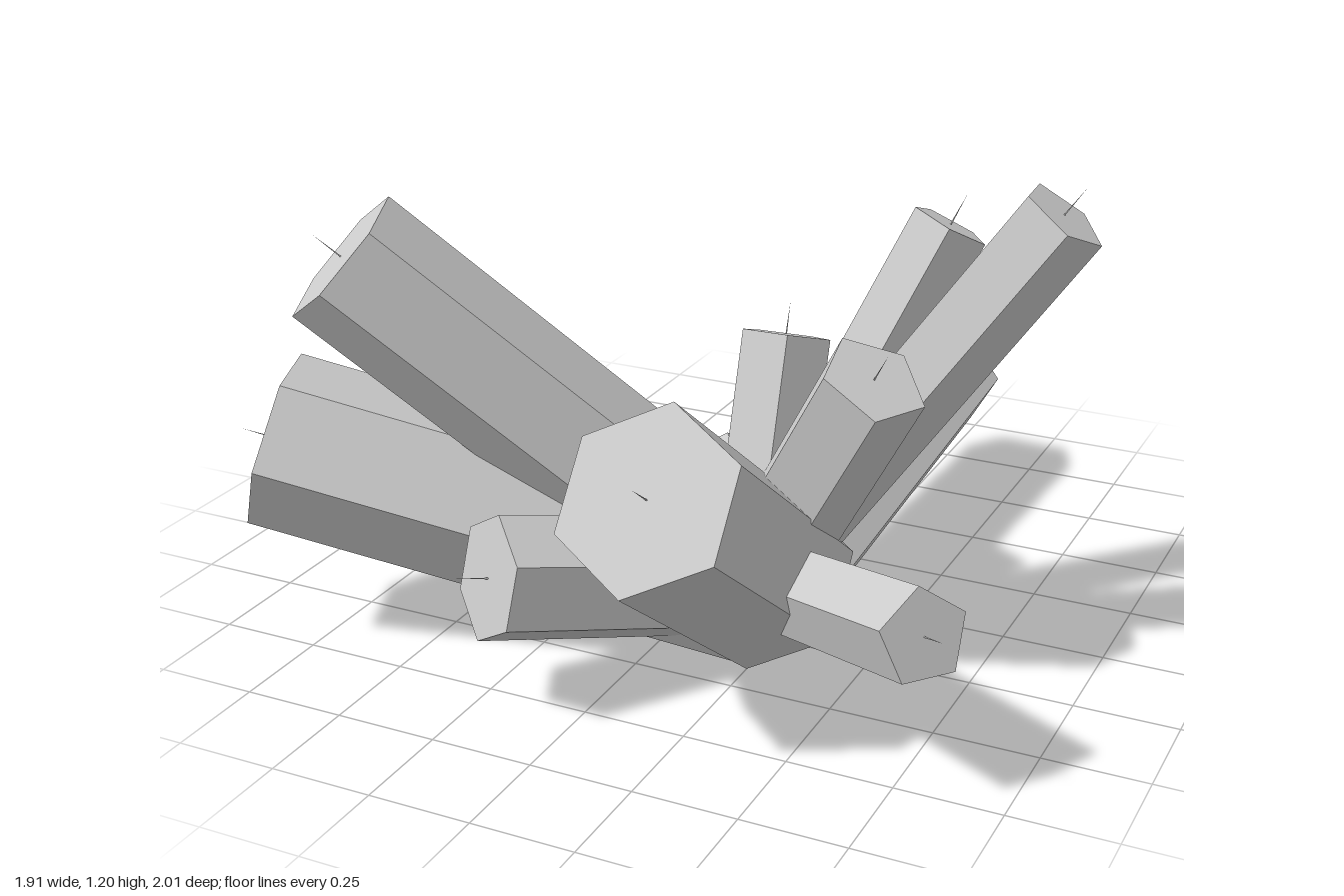
import * as THREE from 'three';

// Usual point where the crystals meet
const ROOT = [0.21, 0.185, 0.28];

// name, centre of the end cap, radius, sides, direction of one corner, optional root and cap lean
const CRYSTALS = [
  ['wideLowCrystal', [-0.845, 0.52, 0.71], 0.21, 6, [0.38, 0, 0.92]],
  ['wideFrontCrystal', [0.237, 0.64, 0.885], 0.217, 6, [0, 0.83, -0.56], [0.25, 0.18, 0.28]],
  ['tallRightCrystal', [-0.605, 1.01, 0.73], 0.172, 6, [0.05, -0.03, 0.17]],
  ['lowFrontCrystal', [-0.19, 0.345, 0.835], 0.15, 6, [0.015, 0.165, -0.03]],
  ['tallLeftCrystal', [0.89, 1.145, 0.17], 0.105, 5, [-0.06, 0.06, -0.055]],
  ['thinUprightCrystal', [0.575, 1.035, 0], 0.095, 5, [-0.08, 0.06, 0.05]],
  ['middleLeftCrystal', [0.565, 0.805, 0.44], 0.125, 5, [-0.1, 0.09, -0.05]],
  ['lowLeftCrystal', [0.825, 0.41, 0.795], 0.107, 5, [0, 1, 0]],
  ['longBackCrystal', [0.287, 0.315, -0.91], 0.15, 5, [0.03, 0.135, 0], [0.285, 0.21, 0.22], [-0.3, 0, 0]],
  ['uprightCrystal', [0.2, 0.735, 0.08], 0.11, 5, [0.02, 0, -0.1]],
  ['shortBackCrystal', [0.15, 0.33, -0.16], 0.16, 6, [0, 1, 0.3]],
  ['shortRightCrystal', [0, 0.32, 0.02], 0.13, 6, [0.2, 1, 0.2]],
];

const material = new THREE.MeshStandardMaterial({ color: 0xcccccc, flatShading: true });

function makeCrystal([name, tip, radius, sides, corner, root = ROOT, lean = [0, 0, 0]]) {
  const base = new THREE.Vector3(...root);
  const axis = new THREE.Vector3(...tip).sub(base);
  const length = axis.length();
  axis.normalize();

  // Local frame: y along the crystal, z towards one corner
  const z = new THREE.Vector3(...corner).projectOnPlane(axis).normalize();
  const x = new THREE.Vector3().crossVectors(axis, z);
  const leanVec = new THREE.Vector3(...lean);
  const leanX = leanVec.dot(x), leanZ = leanVec.dot(z);

  // Prism with its end cap slanted by the lean
  const prism = new THREE.CylinderGeometry(radius, radius, length, sides);
  prism.translate(0, length / 2, 0);
  const pos = prism.attributes.position;
  for (let i = 0; i < pos.count; i++) {
    if (pos.getY(i) > length / 2) {
      pos.setY(i, length + pos.getX(i) * leanX + pos.getZ(i) * leanZ);
    }
  }
  const body = new THREE.Mesh(prism, material);
  body.name = 'prism';

  // Hair-thin needle on the cap
  const needle = new THREE.Mesh(new THREE.ConeGeometry(0.002, 0.08, 4), material);
  needle.position.y = length + 0.04;
  needle.name = 'needle';

  const crystal = new THREE.Group();
  crystal.name = name;
  crystal.add(body, needle);
  crystal.quaternion.setFromRotationMatrix(new THREE.Matrix4().makeBasis(x, axis, z));
  crystal.position.copy(base);
  return crystal;
}

export function createModel() {
  const cluster = new THREE.Group();
  cluster.name = 'crystalCluster';
  for (const spec of CRYSTALS) cluster.add(makeCrystal(spec));
  return cluster;
}
